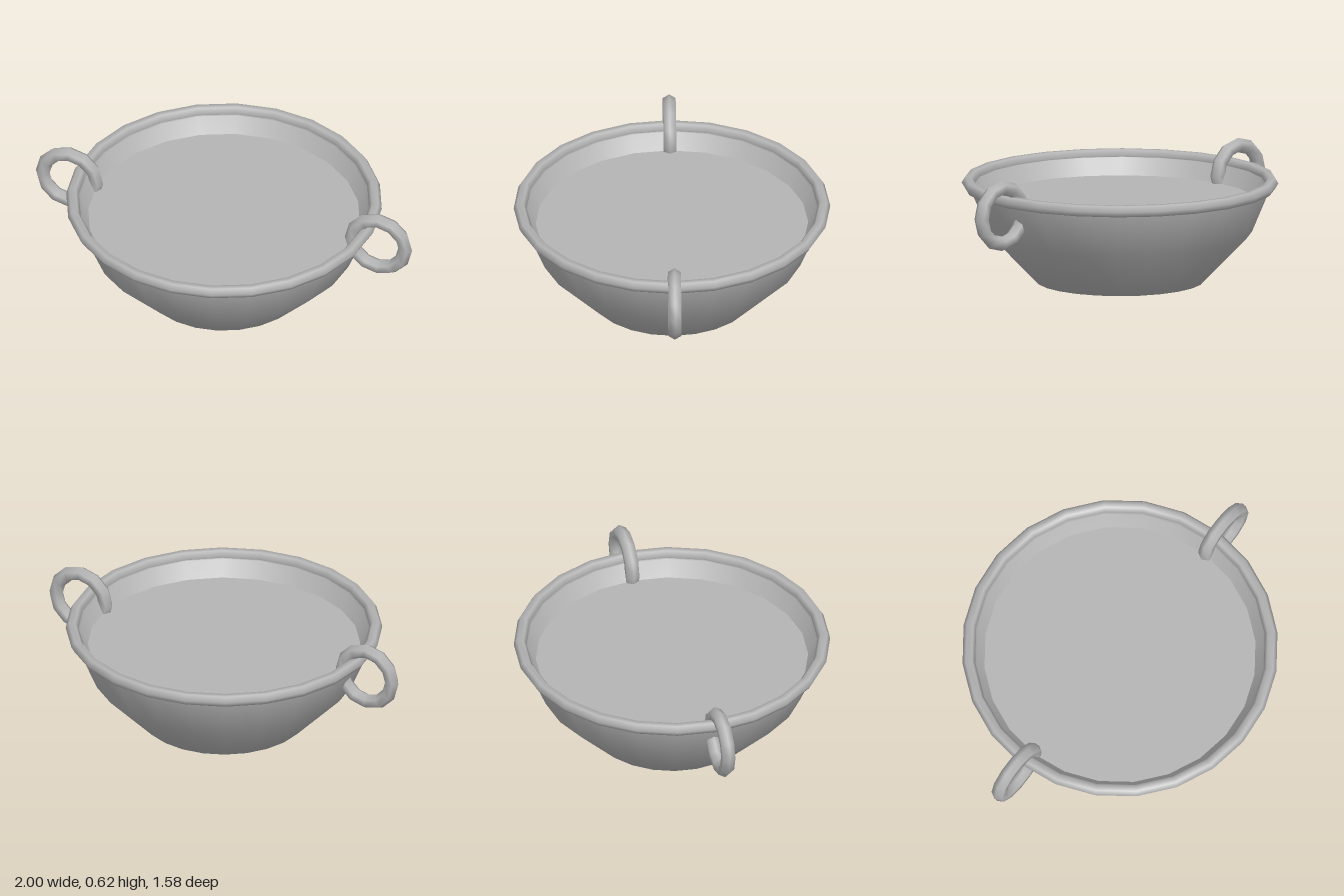
import * as THREE from 'three';

const SIDES = 24;

export function createModel() {
  const group = new THREE.Group();
  const grey = new THREE.MeshStandardMaterial({ color: 0xb4b4b4 });
  grey.name = 'stone grey';

  const add = (name, geometry) => {
    const mesh = new THREE.Mesh(geometry, grey);
    mesh.name = name;
    group.add(mesh);
    return mesh;
  };

  // Bowl wall: underside, flared outside, then back down the inside
  const profile = [
    [0, 0], [0.42, 0], [0.66, 0.25], [0.76, 0.49],
    [0.72, 0.49], [0.62, 0.27], [0.4, 0.05], [0, 0.05],
  ].map(([r, y]) => new THREE.Vector2(r, y));
  add('bowl', new THREE.LatheGeometry(profile, SIDES));

  // Rolled rim with a hexagonal section
  const rim = new THREE.TorusGeometry(0.76, 0.032, 6, SIDES);
  rim.rotateX(Math.PI / 2);
  add('rim', rim).position.y = 0.497;

  // Flat surface of the contents
  const contents = new THREE.CircleGeometry(0.682, SIDES);
  contents.rotateX(-Math.PI / 2);
  add('contents', contents).position.y = 0.405;

  // Ring handles, mirrored left and right
  for (const [name, side] of [['leftHandle', 1], ['rightHandle', -1]]) {
    const handle = add(name, new THREE.TorusGeometry(0.142, 0.037, 6, 12));
    handle.position.set(side * 0.821, 0.438, 0);
  }

  return group;
}
